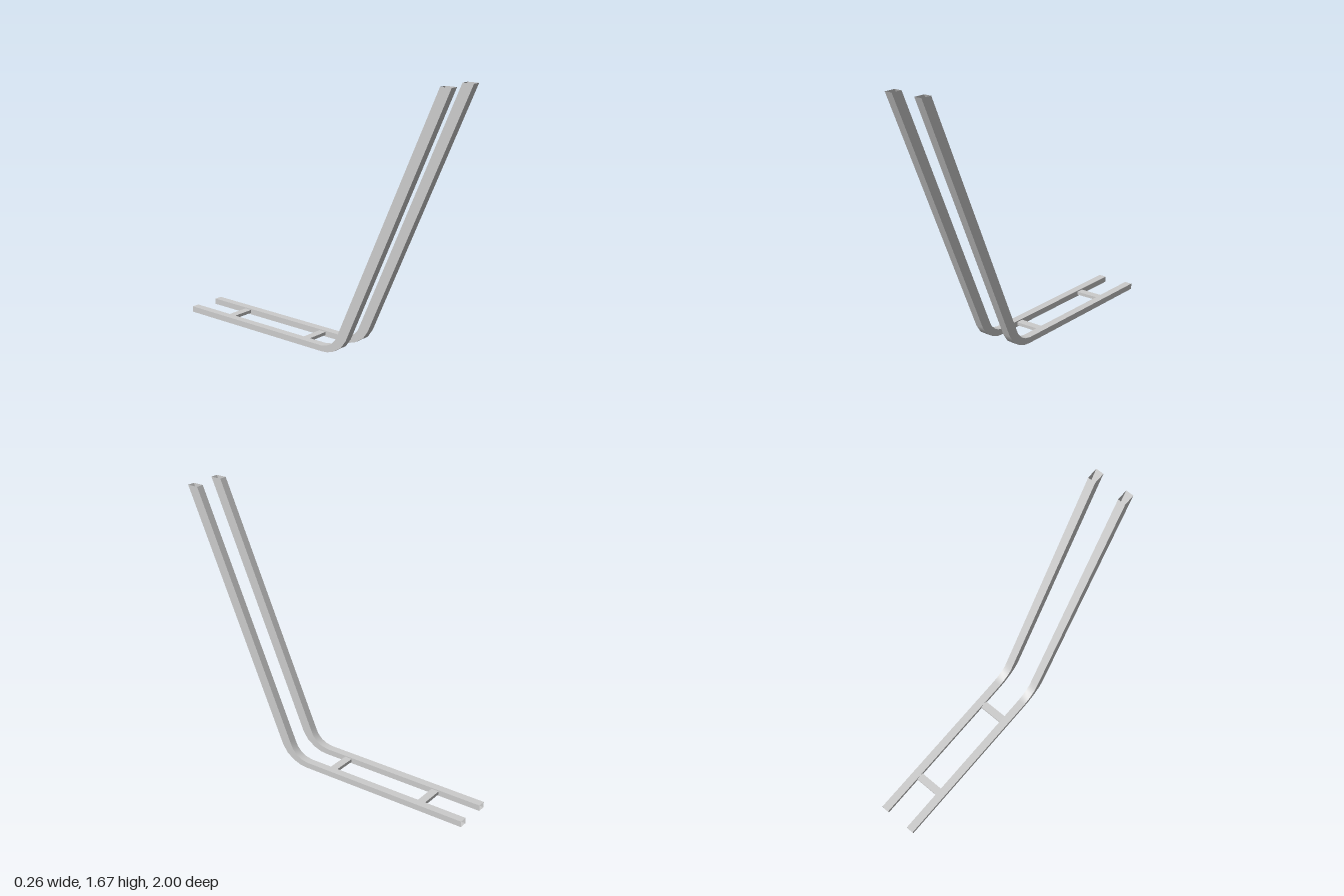
import * as THREE from 'three';

const material = new THREE.MeshStandardMaterial({ color: 0xcccccc, side: THREE.DoubleSide });

// Side profile of a rail from back to top: [outer z, outer y, inner z, inner y]
const STATIONS = [
  [-1, 0, -1, 0.037],
  [0.11, 0, 0.11, 0.037],
  [0.16, 0.004, 0.155, 0.046],
  [0.21, 0.021, 0.19, 0.063],
  [0.265, 0.057, 0.222, 0.096],
  [0.301, 0.108, 0.244, 0.142],
  [1, 1.67, 0.927, 1.67],
];

// Open rectangular tube: one strip per side, smooth along its length, sharp at the corners
function railGeometry(x0, x1) {
  const positions = [], index = [];
  const corners = ([oz, oy, iz, iy]) => [[x0, oy, oz], [x1, oy, oz], [x1, iy, iz], [x0, iy, iz]];
  for (let side = 0; side < 4; side++) {
    const base = positions.length / 3;
    STATIONS.forEach((station, i) => {
      const c = corners(station);
      positions.push(...c[side], ...c[(side + 1) % 4]);
      if (i === 0) return;
      const a = base + (i - 1) * 2;
      index.push(a, a + 1, a + 2, a + 1, a + 3, a + 2);
    });
  }
  const geometry = new THREE.BufferGeometry();
  geometry.setAttribute('position', new THREE.Float32BufferAttribute(positions, 3));
  geometry.setIndex(index);
  geometry.computeVertexNormals();
  return geometry;
}

export function createModel() {
  const group = new THREE.Group();
  group.name = 'bentRailFrame';

  const add = (name, geometry) => {
    const mesh = new THREE.Mesh(geometry, material);
    mesh.name = name;
    group.add(mesh);
    return mesh;
  };

  // Two bent rails, open at both ends
  add('leftRail', railGeometry(0.08, 0.13));
  add('rightRail', railGeometry(-0.13, -0.08));

  // Cross bars joining the flat part of the rails
  for (const [name, z] of [['rearCrossBar', -0.695], ['middleCrossBar', -0.055]]) {
    add(name, new THREE.BoxGeometry(0.16, 0.02, 0.05)).position.set(0, 0.02, z);
  }

  return group;
}
